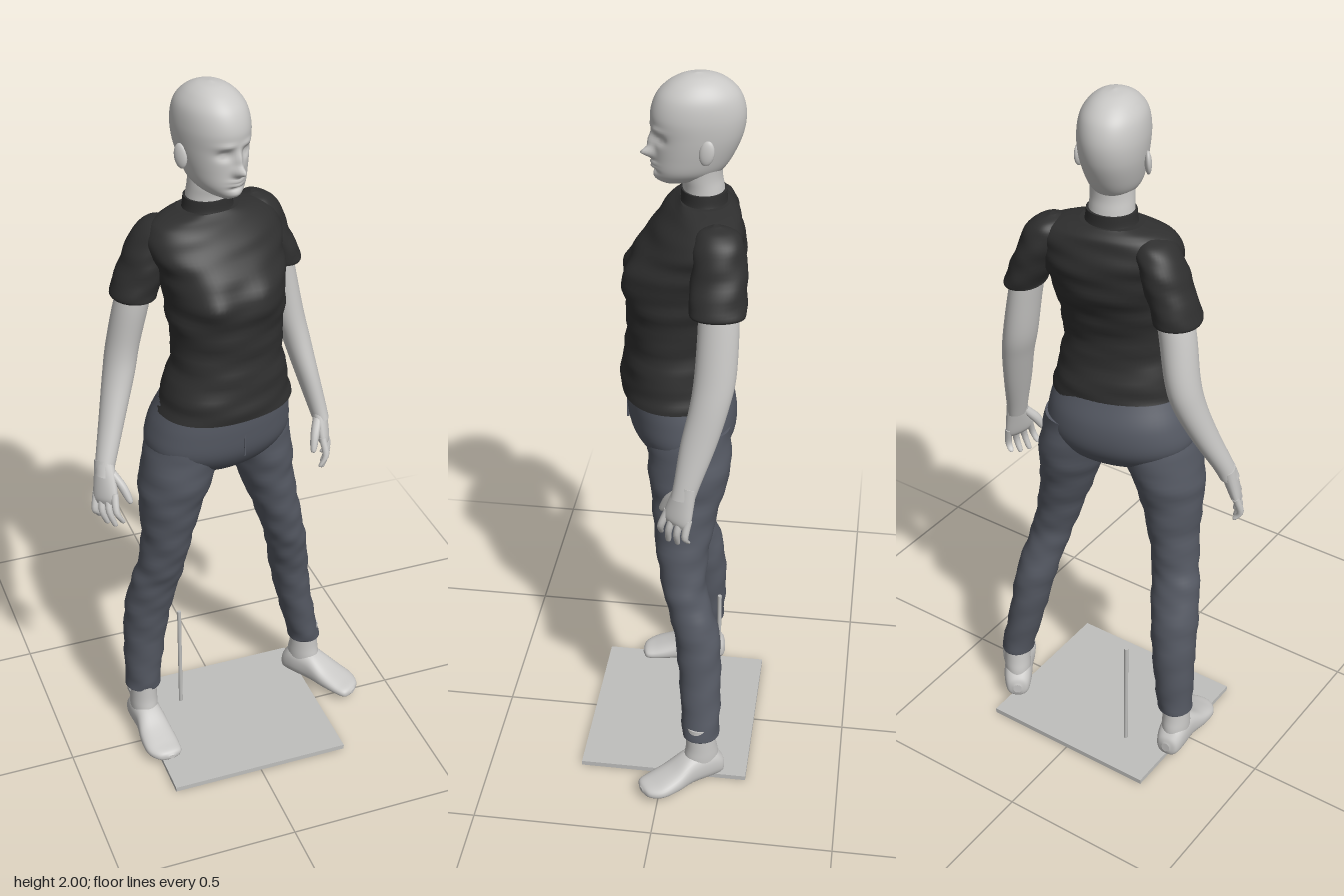
import * as THREE from 'three';

const mat = (name, color, extra = {}) => Object.assign(new THREE.MeshStandardMaterial({ color, ...extra }), { name });

// Smooth closed skin through rings [y, centreX, centreZ, halfWidth, halfDepth]
function loft(rings, { seg = 32, steps = 6, yaw = 0, power = 2, rule = null } = {}) {
  if (rings[0][0] > rings[rings.length - 1][0]) rings = [...rings].reverse();
  const centres = new THREE.CatmullRomCurve3(rings.map(r => new THREE.Vector3(r[1], r[0], r[2])), false, 'catmullrom');
  const sizes = new THREE.CatmullRomCurve3(rings.map(r => new THREE.Vector3(r[3], r[4], 0)), false, 'catmullrom');
  const rows = (rings.length - 1) * steps, pos = [], idx = [];
  const round = c => Math.sign(c) * Math.pow(Math.abs(c), 2 / power);
  const cy = Math.cos(yaw), sy = Math.sin(yaw);
  for (let i = 0; i <= rows; i++) {
    const c = centres.getPoint(i / rows), s = sizes.getPoint(i / rows);
    for (let j = 0; j < seg; j++) {
      const a = j / seg * Math.PI * 2;
      const x = round(Math.cos(a)) * Math.max(s.x, 0.001), z = round(Math.sin(a)) * Math.max(s.y, 0.001);
      const v = new THREE.Vector3(c.x + x * cy + z * sy, c.y, c.z - x * sy + z * cy);
      if (rule) rule(v, a);
      pos.push(v.x, v.y, v.z);
    }
  }
  for (let i = 0; i < rows; i++) for (let j = 0; j < seg; j++) {
    const a = i * seg + j, b = i * seg + (j + 1) % seg;
    idx.push(a, a + seg, b, b, a + seg, b + seg);
  }
  // End caps with their own corners, so hems stay crisp
  for (const [row, up] of [[0, false], [rows, true]]) {
    const base = pos.length / 3;
    pos.push(...pos.slice(row * seg * 3, (row + 1) * seg * 3));
    const c = centres.getPoint(row / rows);
    pos.push(c.x, c.y, c.z);
    for (let j = 0; j < seg; j++) {
      const a = base + j, b = base + (j + 1) % seg;
      idx.push(base + seg, up ? b : a, up ? a : b);
    }
  }
  const g = new THREE.BufferGeometry();
  g.setAttribute('position', new THREE.Float32BufferAttribute(pos, 3));
  g.setIndex(idx);
  g.computeVertexNormals();
  return g;
}

const bump = (x, y, x0, y0, sx, sy) => Math.exp(-(((x - x0) / sx) ** 2) - ((y - y0) / sy) ** 2);

export function createModel() {
  const model = new THREE.Group();
  model.name = 'mannequin';
  const skin = mat('skin', 0xc9c8c6), shirt = mat('shirt', 0x2f2f2f);
  const denim = mat('trousers', 0x555963), metal = mat('stand', 0xbfbfbd);
  const add = (name, geo, material, parent = model) => {
    const m = new THREE.Mesh(geo, material);
    m.name = name;
    parent.add(m);
    return m;
  };

  // Stand
  add('basePlate', new THREE.BoxGeometry(0.52, 0.014, 0.474), metal).position.y = 0.007;
  add('supportRod', new THREE.CylinderGeometry(0.006, 0.006, 0.345, 12), metal).position.set(-0.127, 0.183, -0.115);

  // Head, with the face pushed out of the front of the skull
  const head = new THREE.Group();
  head.name = 'head';
  head.position.set(-0.04, 0, -0.045);
  head.rotation.y = 0.3;
  model.add(head);
  const skull = [ // y, front, back, half width
    [1.722, 0.08, 0.0, 0.02], [1.735, 0.098, -0.045, 0.042], [1.76, 0.104, -0.075, 0.062],
    [1.8, 0.105, -0.1, 0.074], [1.85, 0.107, -0.12, 0.083], [1.9, 0.112, -0.125, 0.086],
    [1.945, 0.098, -0.112, 0.079], [1.975, 0.07, -0.085, 0.06], [1.993, 0.035, -0.05, 0.034], [2.0, 0, -0.01, 0.002],
  ].map(([y, f, b, w]) => [y, 0, (f + b) / 2, w, (f - b) / 2]);
  const face = v => {
    if (v.z < 0.03) return;
    const x = Math.abs(v.x), y = v.y;
    v.z += 0.03 * bump(x, y, 0, 1.803, 0.013, 0.013) + 0.014 * bump(x, y, 0, 1.832, 0.011, 0.024)
      - 0.013 * bump(x, y, 0.032, 1.846, 0.017, 0.012) + 0.005 * bump(x, y, 0.03, 1.87, 0.022, 0.008)
      + 0.005 * bump(x, y, 0.033, 1.845, 0.009, 0.006)
      + 0.008 * bump(x, y, 0, 1.778, 0.02, 0.005) + 0.008 * bump(x, y, 0, 1.767, 0.018, 0.005)
      - 0.005 * bump(x, y, 0, 1.757, 0.02, 0.005) + 0.004 * bump(x, y, 0, 1.74, 0.02, 0.01);
  };
  add('skull', loft(skull, { seg: 112, steps: 10, power: 2.1, rule: face }), skin, head);
  for (const s of [-1, 1]) {
    const ear = add(s > 0 ? 'leftEar' : 'rightEar', new THREE.SphereGeometry(1, 16, 12), skin, head);
    ear.scale.set(0.009, 0.032, 0.019);
    ear.position.set(s * 0.086, 1.825, -0.012);
    ear.rotation.set(-0.15, s * -0.35, 0);
  }
  add('neck', loft([[1.62, -0.045, -0.07, 0.065, 0.06], [1.7, -0.045, -0.066, 0.058, 0.053],
    [1.74, -0.043, -0.06, 0.056, 0.053], [1.79, -0.04, -0.06, 0.056, 0.055]], { yaw: 0.2 }), skin);

  // Shirt with bust and soft cloth folds
  const cloth = (amount, f) => (v, a) => {
    const w = amount * (Math.sin(v.y * f + 3 * Math.sin(a + 1)) + 0.6 * Math.sin(v.y * f * 1.7 - 4 * Math.cos(a)));
    v.x += w * Math.cos(a);
    v.z += w * Math.sin(a);
  };
  const shirtFolds = cloth(0.0022, 70);
  add('shirtBody', loft([
    [1.145, -0.03, 0.005, 0.186, 0.143], [1.2, -0.028, 0.008, 0.175, 0.136], [1.3, -0.022, 0.008, 0.15, 0.121],
    [1.4, -0.022, 0, 0.156, 0.13], [1.48, -0.022, -0.02, 0.163, 0.142], [1.55, -0.028, -0.042, 0.178, 0.132],
    [1.6, -0.035, -0.058, 0.188, 0.112], [1.64, -0.04, -0.068, 0.172, 0.09], [1.658, -0.043, -0.07, 0.135, 0.076],
    [1.67, -0.045, -0.068, 0.08, 0.064]],
  { seg: 72, yaw: 0.25, power: 2.2, rule: (v, a) => {
    shirtFolds(v, a);
    if (v.z > 0) v.z += 0.024 * (bump(v.x, v.y, -0.095, 1.475, 0.055, 0.05) + bump(v.x, v.y, 0.05, 1.475, 0.055, 0.05));
  } }), shirt);
  add('collar', loft([[1.645, -0.045, -0.066, 0.08, 0.07], [1.67, -0.045, -0.067, 0.068, 0.06],
    [1.7, -0.045, -0.067, 0.064, 0.058]], { yaw: 0.2 }), shirt);

  const sleeves = {
    right: [[1.45, -0.245, -0.072, 0.06, 0.068], [1.465, -0.243, -0.072, 0.061, 0.07], [1.55, -0.212, -0.072, 0.06, 0.07],
      [1.61, -0.187, -0.07, 0.056, 0.066], [1.642, -0.175, -0.07, 0.04, 0.047], [1.656, -0.165, -0.07, 0.008, 0.01]],
    left: [[1.46, 0.176, -0.128, 0.05, 0.07], [1.475, 0.174, -0.128, 0.052, 0.072], [1.55, 0.14, -0.128, 0.054, 0.07],
      [1.62, 0.112, -0.122, 0.055, 0.064], [1.65, 0.103, -0.118, 0.038, 0.046], [1.663, 0.098, -0.115, 0.008, 0.01]],
  };
  const arms = {
    right: [[1.52, -0.225, -0.075, 0.042, 0.05], [1.42, -0.25, -0.08, 0.046, 0.051], [1.3, -0.274, -0.09, 0.044, 0.05],
      [1.22, -0.291, -0.08, 0.042, 0.048], [1.12, -0.321, -0.047, 0.035, 0.041], [1.02, -0.354, -0.006, 0.028, 0.032], [0.98, -0.366, 0.008, 0.024, 0.03]],
    left: [[1.52, 0.16, -0.13, 0.04, 0.05], [1.42, 0.179, -0.132, 0.041, 0.052], [1.3, 0.201, -0.128, 0.042, 0.053],
      [1.22, 0.221, -0.116, 0.038, 0.05], [1.12, 0.244, -0.092, 0.032, 0.046], [1.02, 0.268, -0.068, 0.026, 0.035], [0.98, 0.277, -0.058, 0.023, 0.032]],
  };

  // Hand hanging from the wrist: palm, four fingers and a thumb (s = side)
  const hand = (side, s, x, y, z, rx, ry, rz) => {
    const g = new THREE.Group();
    g.name = side + 'Hand';
    g.position.set(x, y, z);
    g.rotation.set(rx, s * ry, s * rz);
    model.add(g);
    add('palm', loft([[0.02, 0, 0, 0.022, 0.028], [-0.03, 0, 0, 0.02, 0.036], [-0.08, 0, -0.002, 0.016, 0.041],
      [-0.1, 0, -0.003, 0.008, 0.034]], { seg: 20 }), skin, g);
    for (let i = 0; i < 4; i++) {
      const fz = 0.03 - i * 0.021, end = -0.165 + [0.012, 0, 0.005, 0.022][i];
      add('finger', loft([[-0.07, 0, fz, 0.01, 0.011], [-0.12, s * 0.002, fz * 1.2, 0.0095, 0.0095],
        [end + 0.006, s * -0.016, fz * 1.3, 0.0075, 0.0075], [end, s * -0.018, fz * 1.3, 0.002, 0.002]],
      { seg: 12, steps: 4 }), skin, g);
    }
    add('thumb', loft([[-0.01, s * -0.004, 0.018, 0.013, 0.014], [-0.05, s * -0.016, 0.043, 0.013, 0.015],
      [-0.09, s * -0.026, 0.058, 0.009, 0.01], [-0.1, s * -0.027, 0.06, 0.002, 0.003]], { seg: 12, steps: 4 }), skin, g);
  };
  hand('right', -1, -0.364, 0.995, 0.006, -0.3, -0.6, 0.1);
  hand('left', 1, 0.275, 0.995, -0.062, -0.2, -0.45, 0.12);

  // Trousers: hips and two legs
  const trouserFolds = cloth(0.0016, 60);
  add('hips', loft([
    [0.945, -0.035, -0.018, 0.05, 0.06], [0.975, -0.038, -0.018, 0.15, 0.105], [1.03, -0.043, -0.015, 0.203, 0.14],
    [1.1, -0.04, -0.01, 0.198, 0.146], [1.17, -0.032, 0.003, 0.176, 0.134]], { seg: 56, yaw: 0.22, power: 2.2 }), denim);
  const legs = {
    right: [[1.07, -0.135, 0.012, 0.105, 0.11], [0.95, -0.166, 0.012, 0.1, 0.113], [0.86, -0.185, 0.014, 0.087, 0.096],
      [0.75, -0.197, 0.01, 0.07, 0.08], [0.65, -0.211, 0, 0.066, 0.066], [0.58, -0.224, -0.017, 0.069, 0.061],
      [0.48, -0.24, -0.043, 0.067, 0.064], [0.35, -0.251, -0.06, 0.06, 0.06], [0.19, -0.26, -0.062, 0.05, 0.052], [0.175, -0.26, -0.062, 0.049, 0.051]],
    left: [[1.07, 0.06, -0.045, 0.1, 0.11], [0.95, 0.09, -0.05, 0.09, 0.11], [0.86, 0.108, -0.045, 0.078, 0.093],
      [0.75, 0.138, -0.04, 0.066, 0.076], [0.65, 0.165, -0.044, 0.06, 0.063], [0.58, 0.183, -0.058, 0.058, 0.06],
      [0.48, 0.203, -0.087, 0.057, 0.062], [0.35, 0.227, -0.1, 0.051, 0.058], [0.19, 0.264, -0.108, 0.046, 0.052], [0.175, 0.266, -0.108, 0.045, 0.051]],
  };
  for (const side of ['right', 'left']) {
    add(side + 'Sleeve', loft(sleeves[side], { seg: 40, yaw: 0.15, rule: cloth(0.0015, 70) }), shirt);
    add(side + 'Arm', loft(arms[side]), skin);
    add(side + 'TrouserLeg', loft(legs[side], { seg: 44, rule: trouserFolds }), denim);
  }
  // Fly seam
  add('flySeam', new THREE.BoxGeometry(0.004, 0.1, 0.006), denim).position.set(-0.015, 1.08, 0.13);

  // Feet, lofted from heel to toe: [length, x, -height, halfWidth, halfHeight]
  const foot = (side, s, x, z, yaw) => {
    const g = new THREE.Group();
    g.name = side + 'Foot';
    g.position.set(x, 0, z);
    g.rotation.y = yaw;
    model.add(g);
    const sole = loft([[-0.07, 0, -0.052, 0.012, 0.015], [-0.06, 0, -0.055, 0.032, 0.034], [-0.025, 0, -0.069, 0.041, 0.051],
      [0.035, 0, -0.065, 0.042, 0.047], [0.09, s * 0.003, -0.049, 0.049, 0.031], [0.14, s * 0.003, -0.039, 0.049, 0.021],
      [0.172, s * -0.004, -0.035, 0.036, 0.015], [0.183, s * -0.006, -0.034, 0.01, 0.006]], { power: 2.4 });
    add('footBody', sole.rotateX(Math.PI / 2), skin, g);
    add('ankle', loft([[0.05, 0, -0.005, 0.037, 0.05], [0.1, 0, -0.005, 0.039, 0.05], [0.14, 0, -0.004, 0.038, 0.044],
      [0.21, 0, 0, 0.036, 0.04]]), skin, g);
  };
  foot('right', -1, -0.261, -0.05, 0.1);
  foot('left', 1, 0.272, -0.107, 0.6);
  return model;
}
